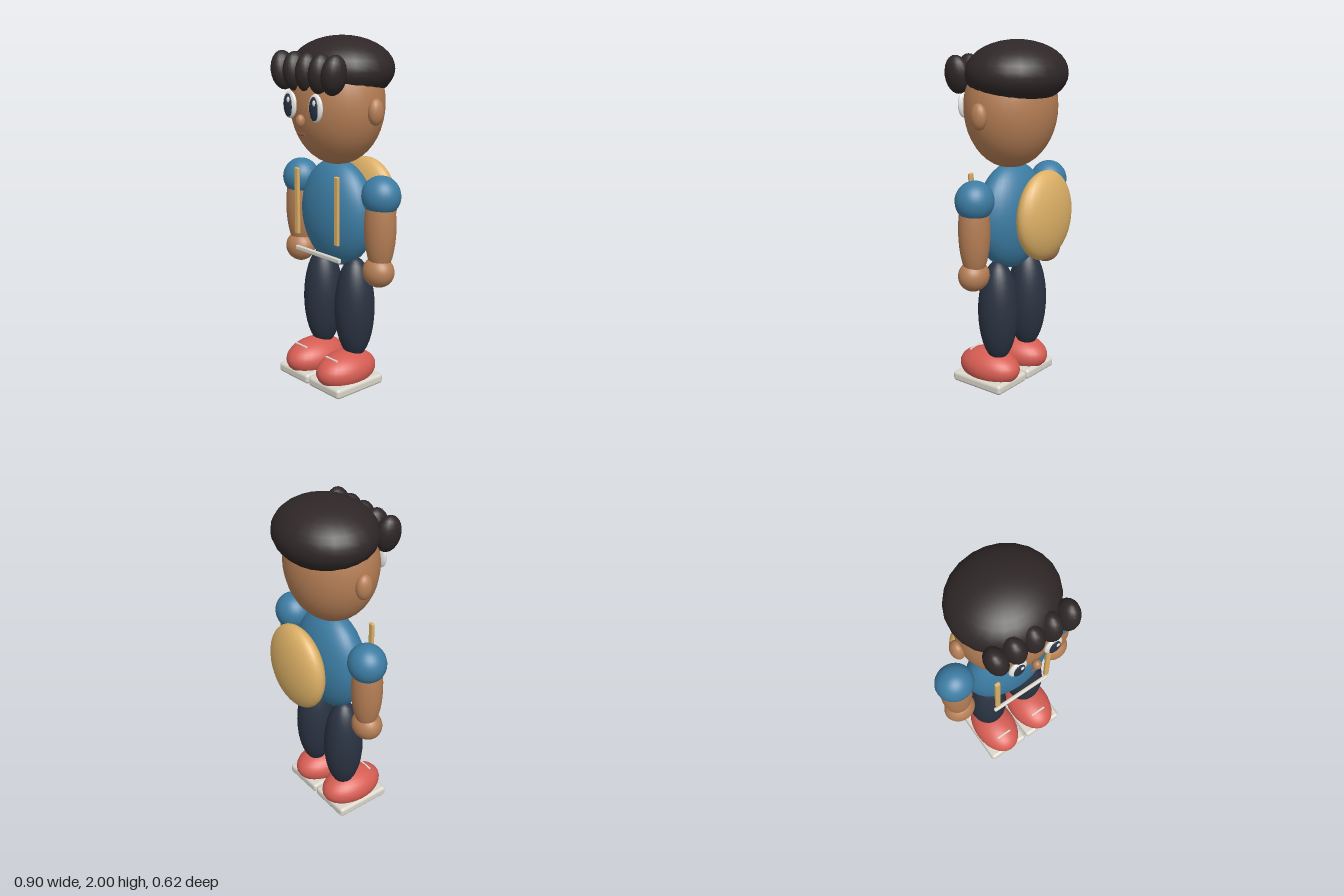
import * as THREE from 'three';
import { RoundedBoxGeometry } from 'three/addons/geometries/RoundedBoxGeometry.js';

const mat = (name, color) => {
  const m = new THREE.MeshStandardMaterial({ color });
  m.name = name;
  return m;
};

export function createModel() {
  const skin = mat('skin', 0xb57e55);
  const hair = mat('hair', 0x2f2727);
  const shirt = mat('shirt blue', 0x3c7ca3);
  const navy = mat('trouser navy', 0x2a3342);
  const red = mat('shoe red', 0xd65d53);
  const pale = mat('pale trim', 0xdad6cb);
  const white = mat('eye white', 0xf0efec);
  const tan = mat('backpack tan', 0xdcb066);
  const lip = mat('lip brown', 0x8c5340);

  const model = new THREE.Group();
  model.name = 'boy';

  const add = (name, geometry, material, [x, y, z]) => {
    const m = new THREE.Mesh(geometry, material);
    m.name = name;
    m.position.set(x, y, z);
    model.add(m);
    return m;
  };
  // ellipsoid with three radii
  const ball = (name, material, pos, [rx, ry, rz], w = 28, h = 18) =>
    add(name, new THREE.SphereGeometry(1, w, h).scale(rx, ry, rz), material, pos);
  // softly rounded bar
  const bar = (name, material, pos, [w, h, d], r) =>
    add(name, new RoundedBoxGeometry(w, h, d, 3, r), material, pos);

  // torso, head and hair
  ball('torso', shirt, [0, 1.01, 0.017], [0.265, 0.31, 0.15], 32, 22);
  ball('head', skin, [0, 1.635, 0.02], [0.285, 0.345, 0.25], 32, 22);
  ball('hairCap', hair, [0, 1.82, -0.018], [0.303, 0.18, 0.278], 24, 18);
  for (let i = -2; i <= 2; i++) {
    const lock = ball('fringeLock', hair, [i * 0.105, 1.812, 0.23], [0.06, 0.108, 0.076], 16, 12);
    lock.rotation.z = -i * 0.08;
  }

  // face
  ball('nose', skin, [0, 1.557, 0.285], [0.025, 0.036, 0.026], 16, 12);
  bar('mouth', lip, [0, 1.485, 0.28], [0.065, 0.014, 0.01], 0.004);

  // backpack and belt
  ball('backpack', tan, [0, 1.045, -0.215], [0.228, 0.255, 0.095], 28, 20);
  bar('belt', pale, [0, 0.787, 0.168], [0.38, 0.028, 0.022], 0.008);

  // paired parts
  for (const s of [-1, 1]) {
    ball('ear', skin, [s * 0.295, 1.61, 0.008], [0.039, 0.073, 0.049], 18, 14);
    ball('eye', white, [s * 0.108, 1.635, 0.268], [0.054, 0.076, 0.021], 24, 16);
    ball('iris', navy, [s * 0.108, 1.632, 0.281], [0.036, 0.064, 0.013], 20, 14);
    ball('eyeGlint', white, [s * 0.108 + 0.012, 1.664, 0.291], [0.011, 0.016, 0.006], 12, 8);

    bar('strap', tan, [s * 0.17, 1.068, 0.175], [0.032, 0.388, 0.02], 0.006);

    ball('sleeve', shirt, [s * 0.34, 1.16, 0.005], [0.112, 0.112, 0.106]);
    ball('arm', skin, [s * 0.34, 0.99, 0.01], [0.092, 0.275, 0.086]);
    ball('hand', skin, [s * 0.338, 0.733, 0.018], [0.095, 0.088, 0.083]);

    ball('leg', navy, [s * 0.137, 0.465, 0.01], [0.116, 0.305, 0.116]);
    ball('shoe', red, [s * 0.136, 0.107, 0.075], [0.132, 0.107, 0.2]);
    bar('sole', pale, [s * 0.136, 0.034, 0.077], [0.264, 0.06, 0.354], 0.02);
    bar('lace', pale, [s * 0.136, 0.193, 0.185], [0.1, 0.012, 0.012], 0.004);
  }

  return model;
}
